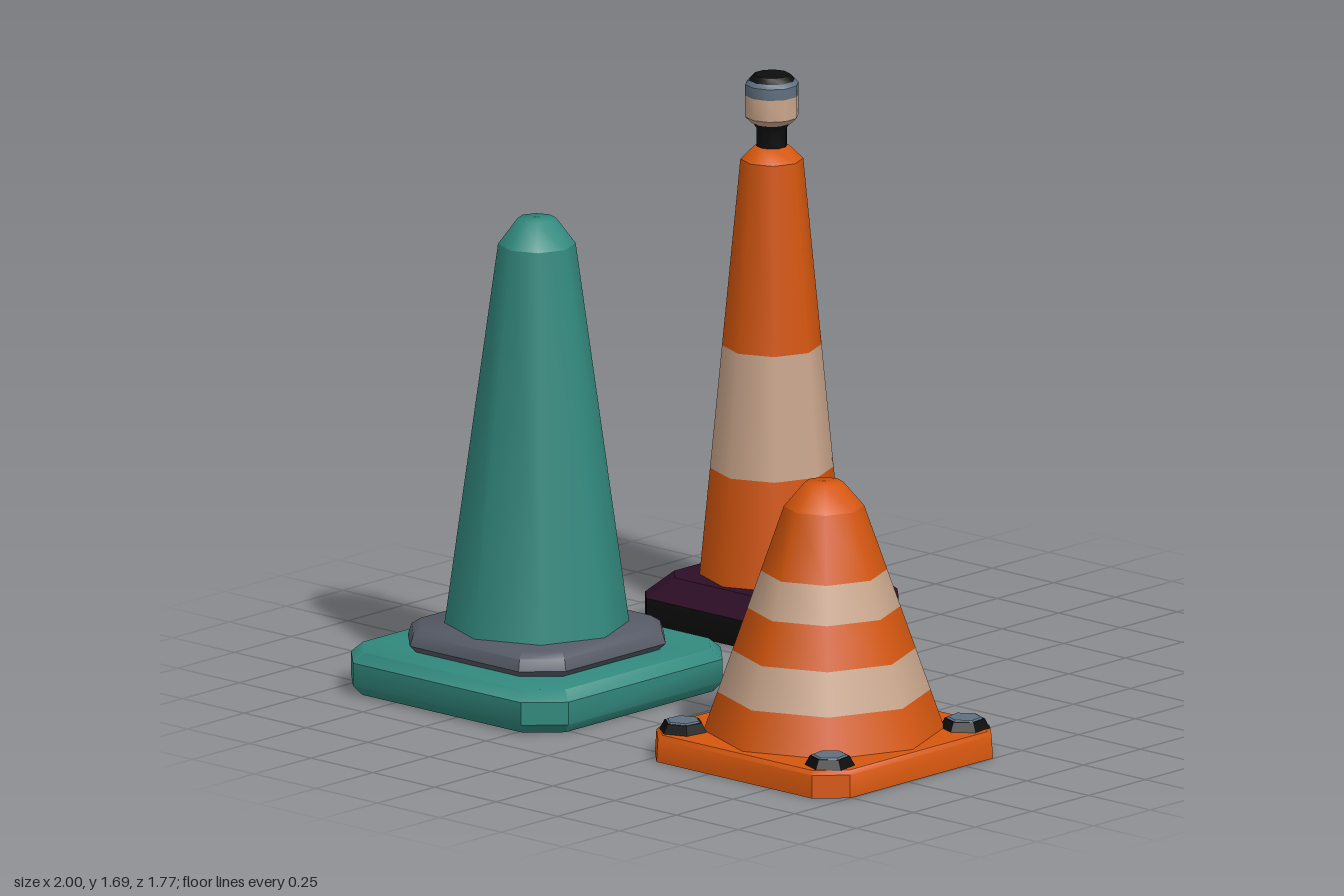
import * as THREE from 'three';
import { toCreasedNormals } from 'three/addons/utils/BufferGeometryUtils.js';

const mat = (name, color) => new THREE.MeshStandardMaterial({ name, color });

// Loft through square sections with cut corners: [half width, corner cut, height]
function loft(sections, crease = 0.75) {
  const pos = [], idx = [];
  for (const [h, c, y] of sections) {
    const k = h - c;
    for (const [x, z] of [[h, -k], [h, k], [k, h], [-k, h], [-h, k], [-h, -k], [-k, -h], [k, -h]]) pos.push(x, y, z);
  }
  for (let j = 0; j < sections.length - 1; j++) {
    for (let i = 0; i < 8; i++) {
      const a = j * 8 + i, b = j * 8 + (i + 1) % 8;
      idx.push(a, a + 8, b, b, a + 8, b + 8);
    }
  }
  const g = new THREE.BufferGeometry();
  g.setAttribute('position', new THREE.Float32BufferAttribute(pos, 3));
  g.setIndex(idx);
  return toCreasedNormals(g, crease);
}

// Turned part from [radius, height] points
const turned = (points, sides) => new THREE.LatheGeometry(points.map(p => new THREE.Vector2(p[0], p[1])), sides);

export function createModel() {
  const teal = mat('teal', 0x32897e);
  const orange = mat('orange', 0xd4560e);
  const cream = mat('cream', 0xcaa68c);
  const slate = mat('slate', 0x555a66);
  const steel = mat('steel', 0x5f7080);
  const black = mat('black', 0x0e0e0e);
  const plum = mat('plum', 0x2e0f27);
  orange.side = cream.side = THREE.DoubleSide;

  const model = new THREE.Group();
  const add = (parent, name, geometry, material) => {
    const m = new THREE.Mesh(geometry, material);
    m.name = name;
    parent.add(m);
    return m;
  };
  const cone = (name, x, z) => {
    const g = new THREE.Group();
    g.name = name;
    g.position.set(x, 0, z);
    model.add(g);
    return g;
  };

  // Eight-sided cone body cut into bands at the given heights, with a blunt tip
  function body(g, [r0, y0], [r1, y1], [r2, y2], cuts, colours) {
    const ys = [y0, ...cuts, y1];
    const r = y => r0 + (r1 - r0) * (y - y0) / (y1 - y0);
    for (let i = 0; i < ys.length - 1; i++) {
      add(g, i % 2 ? 'stripe' : 'coneBody', turned([[r(ys[i]), ys[i]], [r(ys[i + 1]), ys[i + 1]]], 8), colours[i % 2]);
    }
    add(g, 'coneTip', turned([[r1, y1], [r2, y2], [0, y2 + 0.002]], 8), colours[0]);
  }

  // Plain cone with a collar on a wide rounded base
  const plain = cone('plainCone', -0.56, 0.44);
  add(plain, 'base', loft([
    [0.25, 0.146, 0.13], [0.36, 0.2, 0], [0.415, 0.09, 0], [0.44, 0.1, 0.03],
    [0.44, 0.1, 0.1], [0.41, 0.09, 0.13], [0.24, 0.14, 0.13]]), teal);
  add(plain, 'collar', loft([
    [0, 0, 0.128], [0.3, 0.09, 0.128], [0.32, 0.1, 0.15],
    [0.31, 0.095, 0.185], [0.285, 0.085, 0.203], [0, 0, 0.203]]), slate);
  body(plain, [0.276, 0.2], [0.116, 1.37], [0.058, 1.448], [], [teal]);

  // Short striped cone on a bolted base
  const short = cone('shortCone', 0.603, 0.44);
  add(short, 'base', loft([
    [0, 0, 0.07], [0.19, 0.111, 0.07], [0.27, 0.158, 0], [0.395, 0.08, 0],
    [0.392, 0.08, 0.07], [0.382, 0.078, 0.082], [0, 0, 0.082]]), orange);
  body(short, [0.36, 0.08], [0.12, 0.77], [0.058, 0.843], [0.2, 0.328, 0.458, 0.572], [orange, cream]);
  for (const sx of [-1, 1]) {
    for (const sz of [-1, 1]) {
      const bolt = new THREE.Group();
      bolt.name = 'bolt';
      bolt.position.set(sx * 0.297, 0.08, sz * 0.297);
      bolt.rotation.y = sx * 0.15;
      short.add(bolt);
      add(bolt, 'boltCollar', toCreasedNormals(new THREE.CylinderGeometry(0.06, 0.076, 0.03, 6), 0.4), black).position.y = 0.015;
      add(bolt, 'boltTop', toCreasedNormals(new THREE.CylinderGeometry(0.05, 0.056, 0.005, 6), 0.4), steel).position.y = 0.032;
    }
  }

  // Tall cone with one broad stripe, a two-tone open base and a lamp
  const tall = cone('tallCone', -0.56, -0.595);
  add(tall, 'base', loft([
    [0.2, 0.117, 0.09], [0.22, 0.129, 0], [0.285, 0.055, 0], [0.295, 0.058, 0.015], [0.295, 0.058, 0.088]]), black);
  add(tall, 'baseTop', loft([
    [0.175, 0.102, 0.15], [0.2, 0.117, 0.09], [0.295, 0.058, 0.088],
    [0.235, 0.06, 0.15], [0.175, 0.102, 0.15]], 0.5), plum);
  body(tall, [0.216, 0.148], [0.094, 1.43], [0.053, 1.47], [0.478, 0.856], [orange, cream]);

  const lamp = new THREE.Group();
  lamp.name = 'lamp';
  tall.add(lamp);
  const ring = (name, points, material) => add(lamp, name, toCreasedNormals(turned(points, 10), 0.7), material);
  ring('lampNeck', [[0.046, 1.46], [0.046, 1.525], [0.06, 1.548], [0, 1.548]], black);
  ring('lampLens', [[0, 1.54], [0.06, 1.542], [0.081, 1.562], [0.081, 1.628]], cream);
  ring('lampBand', [[0.081, 1.628], [0.081, 1.662], [0.07, 1.674]], steel);
  ring('lampCap', [[0.07, 1.674], [0.054, 1.69], [0, 1.691]], black);

  return model;
}
